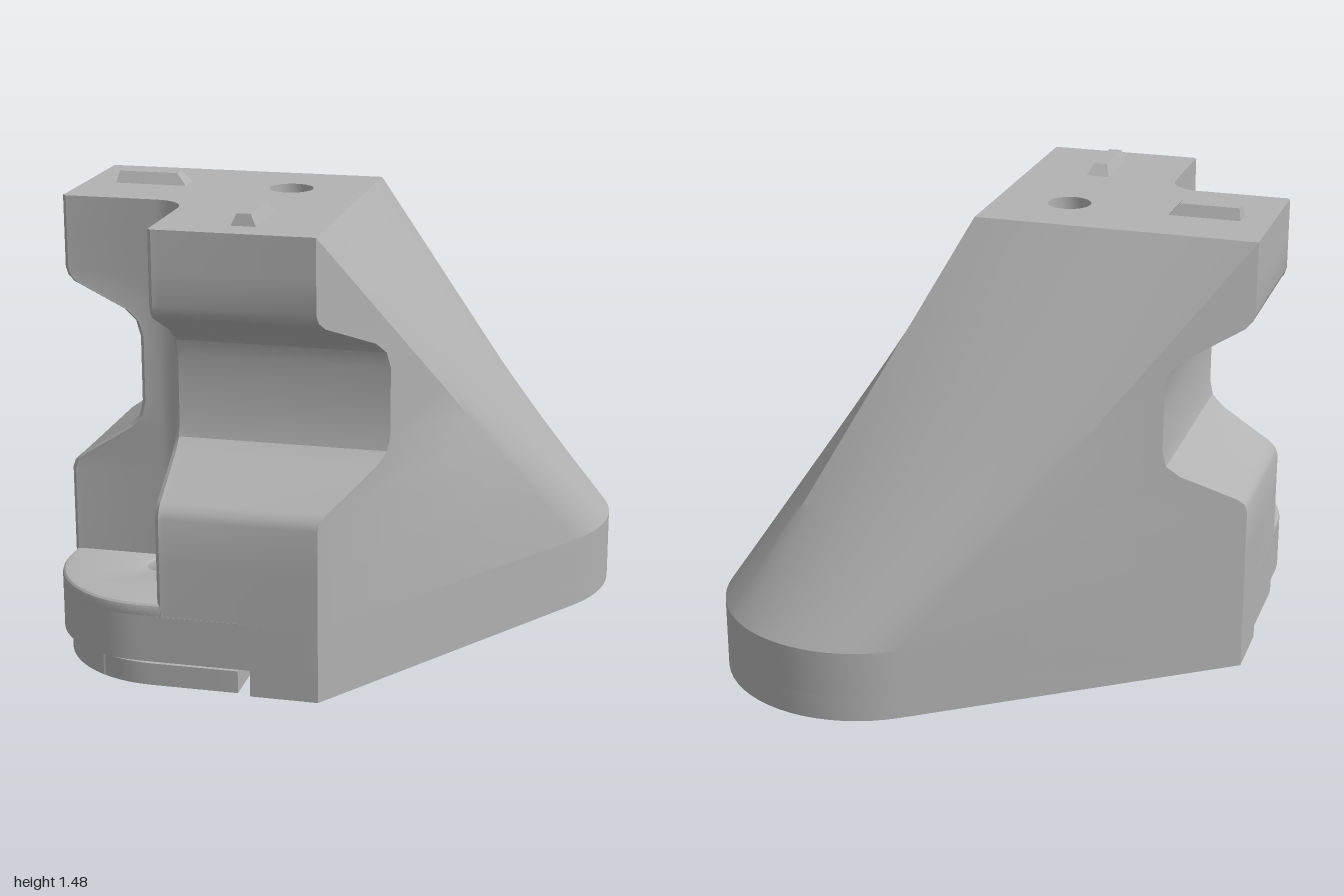
import * as THREE from 'three';
import { toCreasedNormals } from 'three/addons/utils/BufferGeometryUtils.js';

const TOP = 1.44, RIM = 0.235, LIP = 0.275, GAP = 0.085;
const NOSE_X = 0.553, NOSE_R = 0.447, TANGENT = 1.398, NOSE_N = 14;
const V = (x, z) => new THREE.Vector2(x, z);
const lerp = THREE.MathUtils.lerp;

// points on an arc centred on the x axis
function arc(cx, r, a0, a1, n) {
  return Array.from({ length: n + 1 }, (_, i) => {
    const a = lerp(a0, a1, i / n);
    return V(cx + r * Math.cos(a), r * Math.sin(a));
  });
}

// upright slab from a plan outline, with round holes [x, r]
function slab(points, y0, y1, holes = [], bevel = 0) {
  const shape = new THREE.Shape(points);
  for (const [x, r] of holes) {
    const path = new THREE.Path();
    path.absarc(x, 0, r, 0, Math.PI * 2, true);
    shape.holes.push(path);
  }
  const geo = new THREE.ExtrudeGeometry(shape, {
    depth: y1 - y0 - bevel, curveSegments: 24, bevelEnabled: bevel > 0,
    bevelSize: bevel, bevelThickness: bevel, bevelOffset: -bevel, bevelSegments: 3,
  });
  geo.rotateX(-Math.PI / 2).translate(0, y0, 0);
  return toCreasedNormals(geo, 0.5);
}

// depth of the side channel by height: [y, depth]
const channel = [[RIM, 0], [0.4, 0], [0.55, 0], [0.575, 0.012], [0.595, 0.04], [0.7, 0.27], [0.74, 0.325], [0.79, 0.34],
  [0.9, 0.34], [1.0, 0.34], [1.05, 0.32], [1.085, 0.27], [1.165, 0.04], [1.185, 0.012], [1.21, 0], [1.32, 0], [TOP, 0]];

// plan section of the tower at one height, nose first
function section(y, k) {
  const t = (y - RIM) / (TOP - RIM), half = [];
  arc(NOSE_X, NOSE_R, 0, TANGENT, NOSE_N).forEach((p, i) => {
    const s = i / NOSE_N;
    half.push(V(lerp(p.x, 0.14 - 0.64 * s, t), lerp(p.y, 0.64 * s, t)));
  });
  const ax = (k - 0.587) / 1.174;
  half.push(V(ax, ax + 1.14 - k));
  // rounded end of the arm, then the filleted notch
  const cx = -0.855 + k / 2, cz = 0.285 - k / 2, e = 0.021;
  half.push(V(cx + e, cz + e), V(cx + 0.006, cz + 0.009), V(cx + 0.006, cz - 0.009), V(cx + e, cz - e));
  half.push(...arc(-0.711, 0.1, Math.PI / 4, 0, 4));
  const mirrored = half.slice(1, -1).reverse().map((p) => V(p.x, -p.y));
  return [...half, ...mirrored];
}

function towerWalls() {
  const pos = [], index = [];
  const rows = channel.map(([y, k]) => section(y, k));
  const n = rows[0].length;
  rows.forEach((row, j) => row.forEach((p, i) => {
    pos.push(p.x, channel[j][0], p.y);
    if (j === rows.length - 1) return;
    const a = j * n + i, b = j * n + (i + 1) % n;
    index.push(a, a + n, b, b, a + n, b + n);
  }));
  const geo = new THREE.BufferGeometry();
  geo.setAttribute('position', new THREE.Float32BufferAttribute(pos, 3));
  geo.setIndex(index);
  geo.computeVertexNormals();
  return toCreasedNormals(geo, 0.5);
}

function towerTop() {
  const shape = new THREE.Shape(section(TOP, 0).map((p) => V(p.x, -p.y)));
  const hole = new THREE.Path();
  hole.absarc(-0.2, 0, 0.07, 0, Math.PI * 2, true);
  shape.holes.push(hole);
  return new THREE.ShapeGeometry(shape, 24).rotateX(-Math.PI / 2).translate(0, TOP, 0);
}

// locating tab with a bevelled top
function tabGeometry() {
  const geo = new THREE.BoxGeometry(0.24, 0.045, 0.085);
  const p = geo.attributes.position;
  for (let i = 0; i < p.count; i++) {
    if (p.getY(i) < 0) continue;
    p.setX(i, p.getX(i) > 0 ? 0.08 : -0.11);
    p.setZ(i, p.getZ(i) * 0.5);
  }
  geo.computeVertexNormals();
  return geo;
}

export function createModel() {
  const model = new THREE.Group();
  const grey = new THREE.MeshStandardMaterial({ color: 0xb2b2b2 });
  grey.name = 'grey';
  const add = (name, geo, parent = model) => {
    const mesh = new THREE.Mesh(geo, grey);
    mesh.name = name;
    parent.add(mesh);
    return mesh;
  };
  const Q = Math.PI / 4;
  const nose = arc(NOSE_X, NOSE_R, -TANGENT, TANGENT, NOSE_N * 2);

  // base: lower layer leaves a recess for the pad, upper layer covers it
  add('lowerBase', slab([...nose, V(-0.5, 0.64), V(-0.65, 0.49), ...arc(-0.754, 0.42, Q, -Q, 16),
    V(-0.65, -0.49), V(-0.5, -0.64)], 0, GAP, [[-0.2, 0.1], [0.56, 0.085]]));
  const heel = arc(-0.659, 0.341, 3 * Q, 5 * Q, 16);
  add('upperBase', slab([...nose, V(-0.5, 0.64), ...heel, V(-0.5, -0.64)], GAP, RIM,
    [[-0.2, 0.1], [0.56, 0.085], [-0.67, 0.06]]));
  add('heelLip', slab([V(-0.54, 0), V(-0.84, 0.3), ...heel, V(-0.84, -0.3)], RIM, LIP, [[-0.67, 0.06]], 0.015));
  add('blindHoleEnd', new THREE.CircleGeometry(0.09, 32).rotateX(Math.PI / 2).translate(0.56, RIM - 0.002, 0));

  // tower
  add('towerWalls', towerWalls());
  add('towerTop', towerTop());
  const bore = [V(0.07, TOP), V(0.07, 1.4), V(0.055, 1.4), V(0.055, 0.4), V(0.1, 0.4), V(0.1, RIM - 0.01)];
  add('boltHole', toCreasedNormals(new THREE.LatheGeometry(bore, 32), 0.5).translate(-0.2, 0, 0));

  // top tabs
  for (const s of [1, -1]) {
    const tab = add('locatingTab', tabGeometry());
    tab.position.set(-0.517, TOP + 0.0135, 0.315 * s);
    tab.rotation.y = Q * s;
  }

  // grille pad under the heel
  const pad = new THREE.Group();
  pad.name = 'grillePad';
  model.add(pad);
  const H = 0.072, side = 0.318, R = 0.36;
  const outline = (d) => [V(0, side * 1.414 - d * 1.414), ...arc(0.058, R - d, 3 * Q, 5 * Q, 16),
    V(0, -side * 1.414 + d * 1.414), ...arc(-0.058, R - d, -Q, Q, 16)];
  const frame = new THREE.Shape(outline(0));
  frame.holes.push(new THREE.Path(outline(0.025).reverse()));
  add('padFrame', toCreasedNormals(new THREE.ExtrudeGeometry(frame, { depth: H, bevelEnabled: false })
    .rotateX(-Math.PI / 2), 0.5), pad);
  const ring = [V(0.09, H), V(0.09, 0), V(0.12, 0), V(0.12, H), V(0.09, H)];
  add('padRing', toCreasedNormals(new THREE.LatheGeometry(ring, 32), 0.5), pad);
  const bars = new THREE.Group();
  bars.name = 'padBars';
  bars.rotation.y = -Q;
  pad.add(bars);
  const reach = (v) => (v < side - R ? side : side - R + Math.sqrt(R * R - (v - side + R) ** 2)) - 0.012;
  for (let i = -3; i <= 3; i++) {
    const v = i * 0.09, lo = -reach(-v), hi = reach(v);
    add('padSlat', new THREE.BoxGeometry(hi - lo, H - 0.004, 0.022), bars).position.set((lo + hi) / 2, H / 2, -v);
  }
  add('padSpine', new THREE.BoxGeometry(0.022, H - 0.004, 2 * reach(0)), bars).position.y = H / 2;
  pad.position.x = -0.67;
  return model;
}
